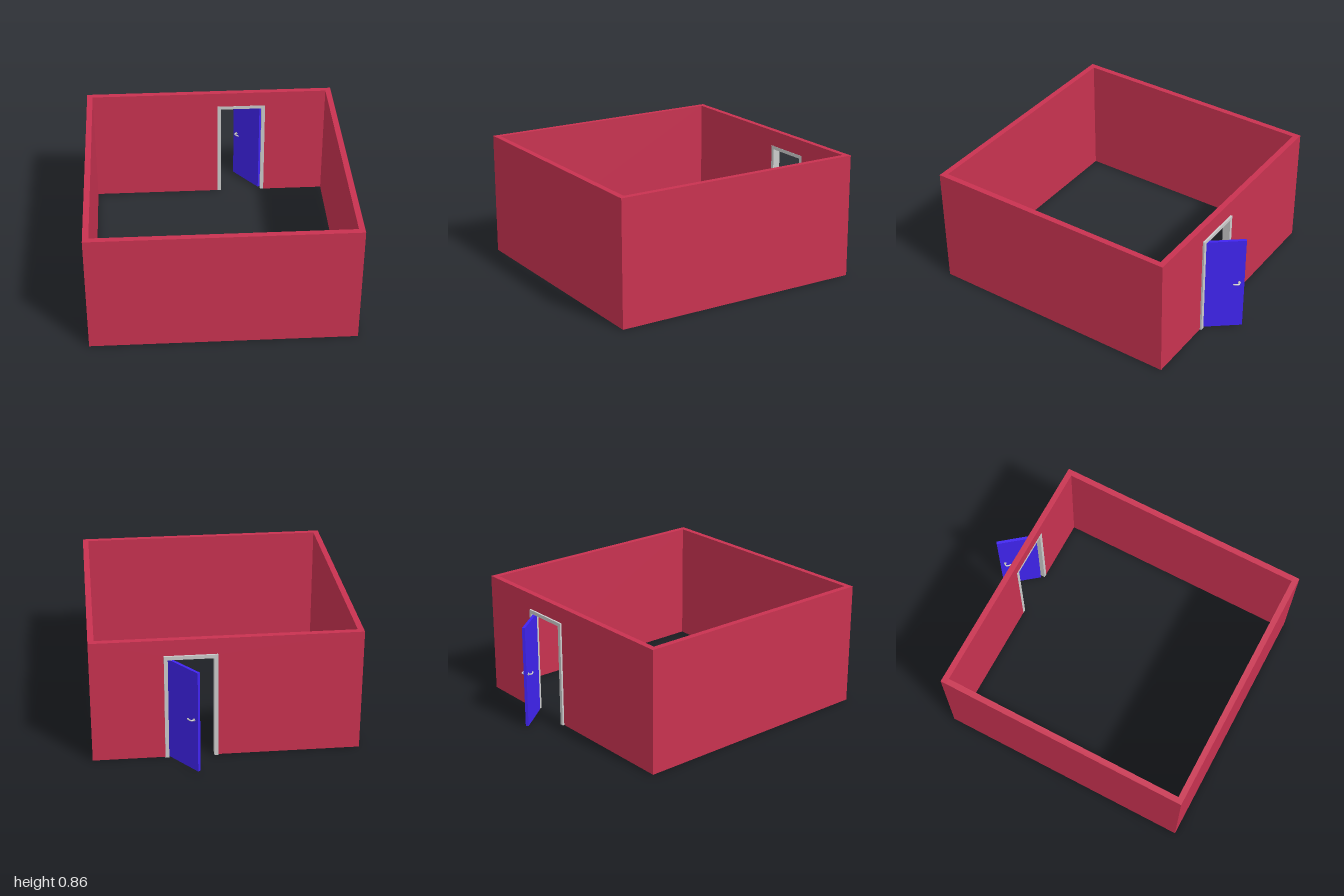
import * as THREE from 'three';

const WALL_H = 0.855, HALF_W = 0.89, THICK = 0.04, FRONT = 1.0, BACK = -0.787;

const red = new THREE.MeshStandardMaterial({ color: 0xc83250 });
const blue = new THREE.MeshStandardMaterial({ color: 0x4024f0 });
const grey = new THREE.MeshStandardMaterial({ color: 0xcccccc });

function add(parent, name, geometry, material, x = 0, y = 0, z = 0) {
  const mesh = new THREE.Mesh(geometry, material);
  mesh.name = name;
  mesh.position.set(x, y, z);
  parent.add(mesh);
  return mesh;
}

// Upright arch outline: a rectangle with a doorway cut up from the floor
function archShape(x0, x1, top, in0, in1, inTop) {
  const points = [[x0, 0], [in0, 0], [in0, inTop], [in1, inTop], [in1, 0], [x1, 0], [x1, top], [x0, top]];
  return new THREE.Shape(points.map(([x, y]) => new THREE.Vector2(x, y)));
}

const extrude = (shape, depth) => new THREE.ExtrudeGeometry(shape, { depth, bevelEnabled: false });

// Lever handle: a stem out of the door face, bent round into a grip
function leverGeometry(side) {
  const path = new THREE.CatmullRomCurve3([
    [0, 0, 0], [0, 0, 0.026], [-0.006, 0, 0.033], [-0.022, 0, 0.034], [-0.04, 0, 0.03],
  ].map(([x, y, z]) => new THREE.Vector3(x, y, z * side)));
  return new THREE.TubeGeometry(path, 20, 0.005, 8);
}

export function createModel() {
  const model = new THREE.Group();
  model.name = 'roomWithDoor';

  // Walls
  const walls = new THREE.Group();
  walls.name = 'walls';
  model.add(walls);
  add(walls, 'frontWall', new THREE.BoxGeometry(2 * HALF_W, WALL_H, THICK), red, 0, WALL_H / 2, FRONT - THICK / 2);
  const sideLength = FRONT - BACK - 2 * THICK;
  for (const [name, s] of [['leftWall', 1], ['rightWall', -1]]) {
    add(walls, name, new THREE.BoxGeometry(THICK, WALL_H, sideLength), red,
      s * (HALF_W - THICK / 2), WALL_H / 2, (FRONT + BACK) / 2);
  }
  add(walls, 'backWall', extrude(archShape(-HALF_W, HALF_W, WALL_H, 0.065, 0.405, 0.74), THICK), red, 0, 0, BACK);

  // Door frame lining the opening and standing proud of the back wall
  add(model, 'doorFrame', extrude(archShape(0.06, 0.41, 0.745, 0.085, 0.385, 0.72), 0.054), grey, 0, 0, -0.8);

  // Door standing open, pivoted at its hinge edge; it extends along local -x
  const door = new THREE.Group();
  door.name = 'door';
  door.position.set(0.378, 0, -0.775);
  door.rotation.y = -Math.atan2(0.78, 0.62);
  model.add(door);
  const length = 0.28, height = 0.717;
  add(door, 'doorPanel', new THREE.BoxGeometry(length, height, 0.02), blue, -length / 2, 0.003 + height / 2, 0);

  // Handles on both faces, with the grips pointing to the hinge
  for (const side of [1, -1]) {
    const handle = new THREE.Group();
    handle.name = 'handle';
    handle.position.set(-length + 0.035, 0.375, 0);
    handle.scale.x = 1;
    handle.rotation.z = Math.PI;
    door.add(handle);
    const rose = add(handle, 'handleRose', new THREE.CylinderGeometry(0.01, 0.01, 0.004, 16), grey, 0, 0, side * 0.012);
    rose.rotation.x = Math.PI / 2;
    add(handle, 'lever', leverGeometry(side), grey);
    const tip = add(handle, 'leverTip', new THREE.SphereGeometry(0.005, 8, 6), grey, -0.04, 0, side * 0.03);
    tip.rotation.z = Math.PI / 2;
  }
  return model;
}
